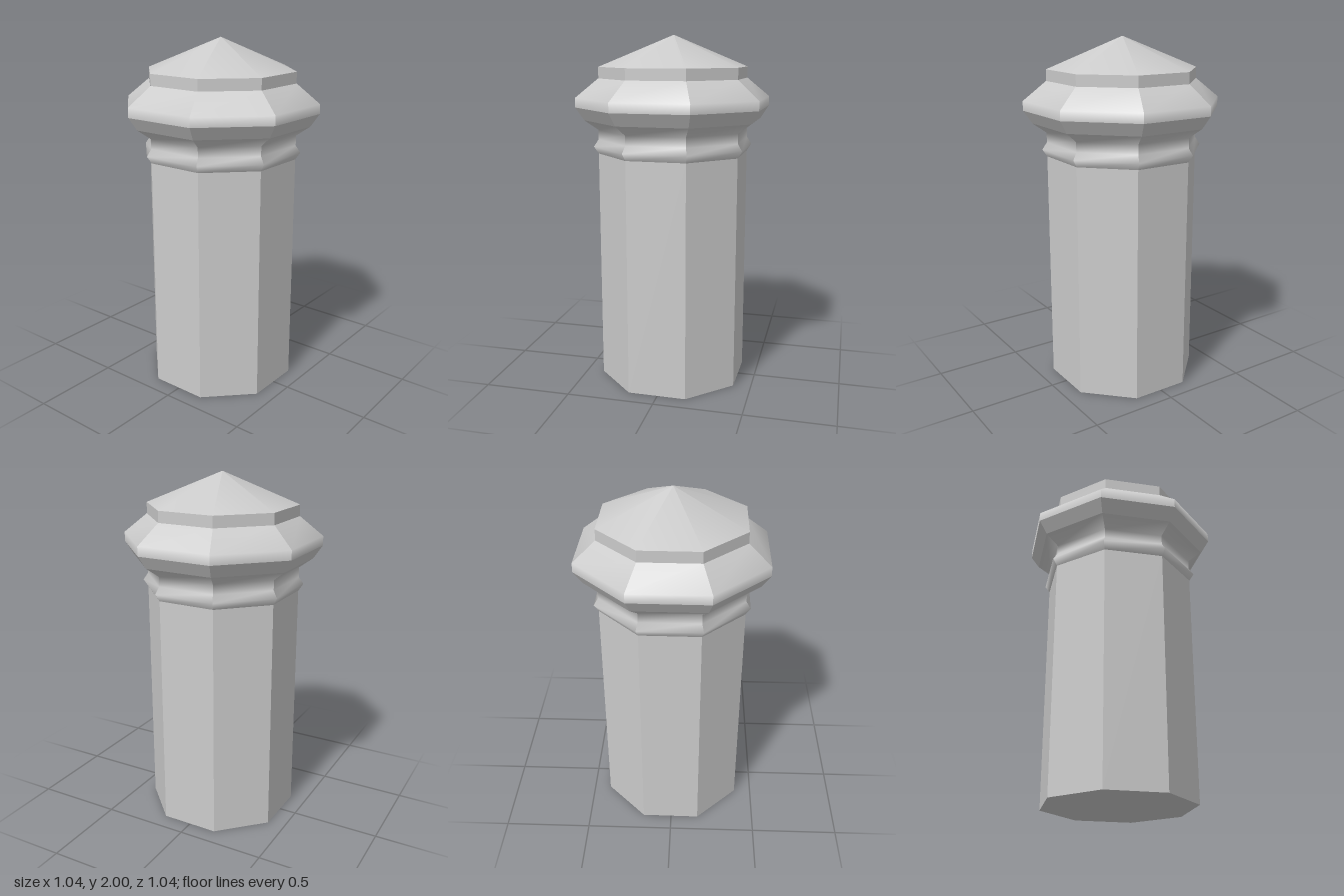
import * as THREE from 'three';
import { mergeGeometries } from 'three/addons/utils/BufferGeometryUtils.js';

const SIDES = 8;
const HALF = Math.PI / SIDES;
const material = new THREE.MeshStandardMaterial({ color: 0xcccccc });

// Octagonal band from [apothem, y] points, bottom to top:
// smooth along the profile, sharp at the eight corners.
function octagonBand(profile) {
  const facets = [];
  for (let s = 0; s < SIDES; s++) {
    const angle = s * 2 * HALF;
    const positions = [];
    const index = [];
    profile.forEach(([apothem, y], i) => {
      const r = apothem / Math.cos(HALF);
      for (const a of [angle - HALF, angle + HALF]) {
        positions.push(r * Math.sin(a), y, r * Math.cos(a));
      }
      if (i > 0) {
        const b = 2 * (i - 1);
        index.push(b, b + 1, b + 3, b, b + 3, b + 2);
      }
    });
    const facet = new THREE.BufferGeometry();
    facet.setAttribute('position', new THREE.Float32BufferAttribute(positions, 3));
    facet.setIndex(index);
    facet.computeVertexNormals();
    facets.push(facet);
  }
  return mergeGeometries(facets);
}

export function createModel() {
  const group = new THREE.Group();
  group.name = 'octagonalPost';
  const add = (name, geometry) => {
    const mesh = new THREE.Mesh(geometry, material);
    mesh.name = name;
    group.add(mesh);
    return mesh;
  };

  // Straight shaft
  add('shaft', octagonBand([[0.4, 0], [0.4, 1.34]]));

  // Small bead, neck and the flare beneath the collar
  add('neckMoulding', octagonBand([
    [0.4, 1.34], [0.425, 1.38], [0.4, 1.42], [0.4, 1.475], [0.472, 1.53],
  ]));
  add('collarUnderside', octagonBand([[0.472, 1.53], [0.517, 1.602]]));

  // Wide collar, sloping in to the cap
  add('collar', octagonBand([[0.517, 1.602], [0.517, 1.655], [0.395, 1.762]]));

  // Cap rim and low pointed roof
  add('capRim', octagonBand([[0.394, 1.76], [0.394, 1.825]]));
  const roof = new THREE.ConeGeometry(0.394 / Math.cos(HALF), 0.175, SIDES, 1, true, HALF);
  add('capRoof', roof).position.y = 1.825 + 0.175 / 2;

  // Closed bottom
  const base = new THREE.CircleGeometry(0.4 / Math.cos(HALF), SIDES, HALF);
  add('base', base.rotateX(Math.PI / 2));

  // The post stands very slightly turned
  group.rotation.y = -0.008;
  return group;
}
